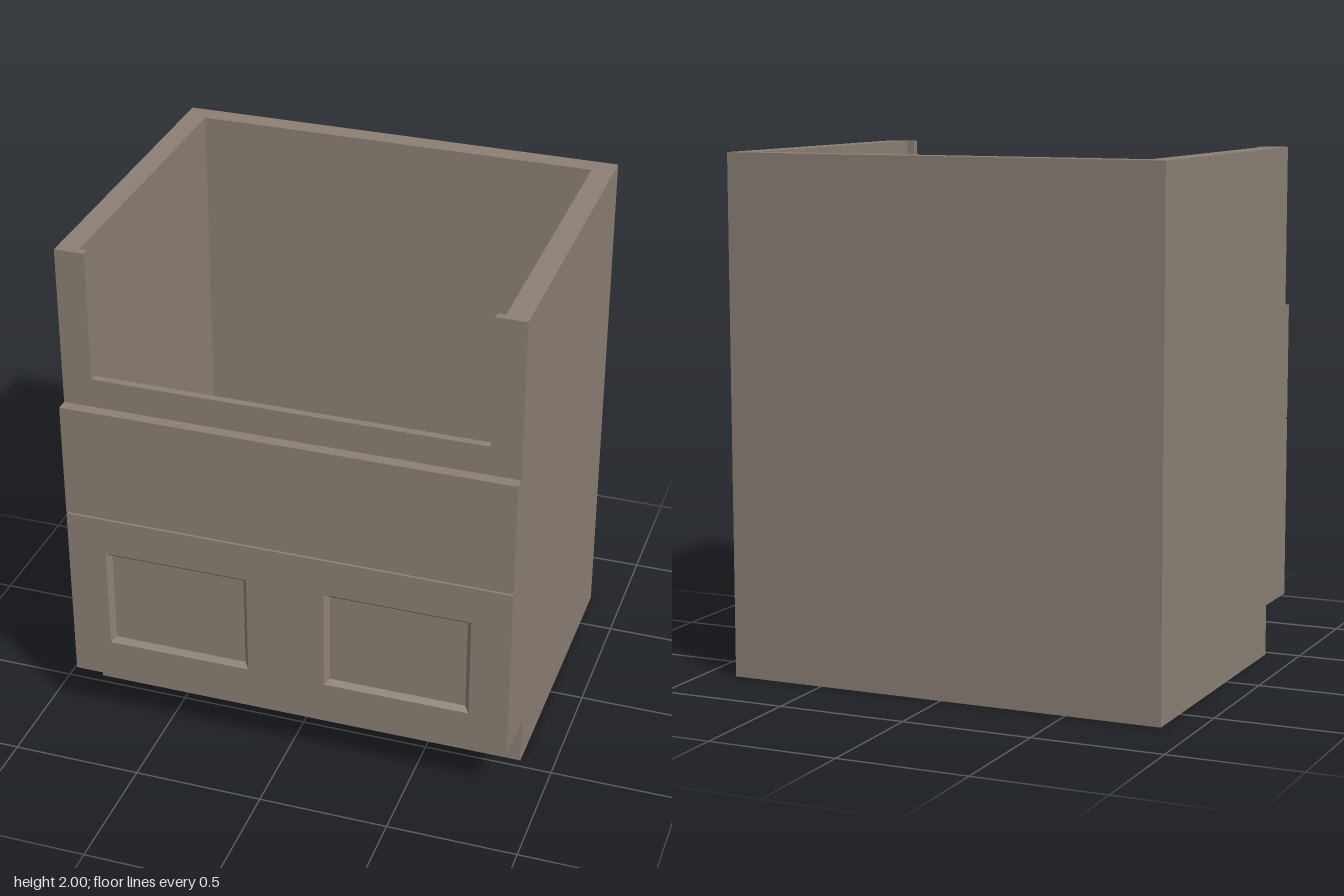
import * as THREE from 'three';

const material = new THREE.MeshStandardMaterial({ color: 0x8c8075 });
const W = 0.87, BACK = -0.695, FACE = 0.65, FRONT = 0.695;

function add(group, name, geometry) {
  const mesh = new THREE.Mesh(geometry, material);
  mesh.name = name;
  group.add(mesh);
  return mesh;
}

// Box given by its lower and upper limits on each axis
function box(group, name, [x0, x1], [y0, y1], [z0, z1]) {
  const mesh = add(group, name, new THREE.BoxGeometry(x1 - x0, y1 - y0, z1 - z0));
  mesh.position.set((x0 + x1) / 2, (y0 + y1) / 2, (z0 + z1) / 2);
  return mesh;
}

const polygon = (points) => new THREE.Shape(points.map(([x, y]) => new THREE.Vector2(x, y)));

const extrude = (shape, depth) => new THREE.ExtrudeGeometry(shape, { depth, bevelEnabled: false });

const rectangle = (x0, x1, y0, y1) => [[x0, y0], [x1, y0], [x1, y1], [x0, y1]];

// Four sloping faces from an outer rectangle back to a smaller inner one
function slopedFrame(outer, inner, zOuter, zInner) {
  const positions = [];
  for (let i = 0; i < 4; i++) {
    const j = (i + 1) % 4;
    const a = [...outer[i], zOuter], b = [...outer[j], zOuter];
    const c = [...inner[j], zInner], d = [...inner[i], zInner];
    positions.push(...a, ...b, ...c, ...a, ...c, ...d);
  }
  const geometry = new THREE.BufferGeometry();
  geometry.setAttribute('position', new THREE.Float32BufferAttribute(positions, 3));
  geometry.computeVertexNormals();
  return geometry;
}

export function createModel() {
  const group = new THREE.Group();
  group.name = 'baseCabinet';

  // Plinth, set back at the front, and the floor above it
  box(group, 'plinth', [-W, W], [0, 0.2], [BACK, 0.465]);
  box(group, 'floor', [-W, W], [0.2, 0.24], [BACK, FACE]);

  // Side and back walls, drawn in plan and raised to full height
  const inX = 0.785, inBack = -0.615, inFront = 0.62;
  const plan = polygon([
    [-W, -inFront], [-inX, -inFront], [-inX, -inBack], [inX, -inBack],
    [inX, -inFront], [W, -inFront], [W, -BACK], [-W, -BACK],
  ]);
  const walls = add(group, 'sideAndBackWalls', extrude(plan, 1.8));
  walls.rotation.x = -Math.PI / 2;
  walls.position.y = 0.2;

  // Front wall with the wide notch at the top
  const notch = 0.755, sill = 1.49;
  const front = polygon([
    [-W, 0.2], [W, 0.2], [W, 2], [notch, 2],
    [notch, sill], [-notch, sill], [-notch, 2], [-W, 2],
  ]);
  add(group, 'frontWall', extrude(front, FACE - inFront)).position.z = inFront;

  // Plain upper front panel, with a fine gap below it
  box(group, 'upperPanel', [-W, W], [0.922, 1.375], [FACE, FRONT]);

  // Lower front panel with two sunken fields
  const depth = 0.02, slope = 0.018, zField = FRONT - depth;
  box(group, 'lowerPanelBacking', [-W, W], [0.2, 0.915], [FACE, zField]);
  const facing = polygon(rectangle(-W, W, 0.2, 0.915));
  for (const [x0, x1] of [[-0.718, -0.152], [0.152, 0.718]]) {
    const outer = rectangle(x0, x1, 0.355, 0.765);
    const inner = rectangle(x0 + slope, x1 - slope, 0.355 + slope, 0.765 - slope);
    facing.holes.push(polygon(outer));
    add(group, 'fieldBevel', slopedFrame(outer, inner, FRONT, zField));
  }
  add(group, 'lowerPanelFace', extrude(facing, depth)).position.z = zField;

  return group;
}
